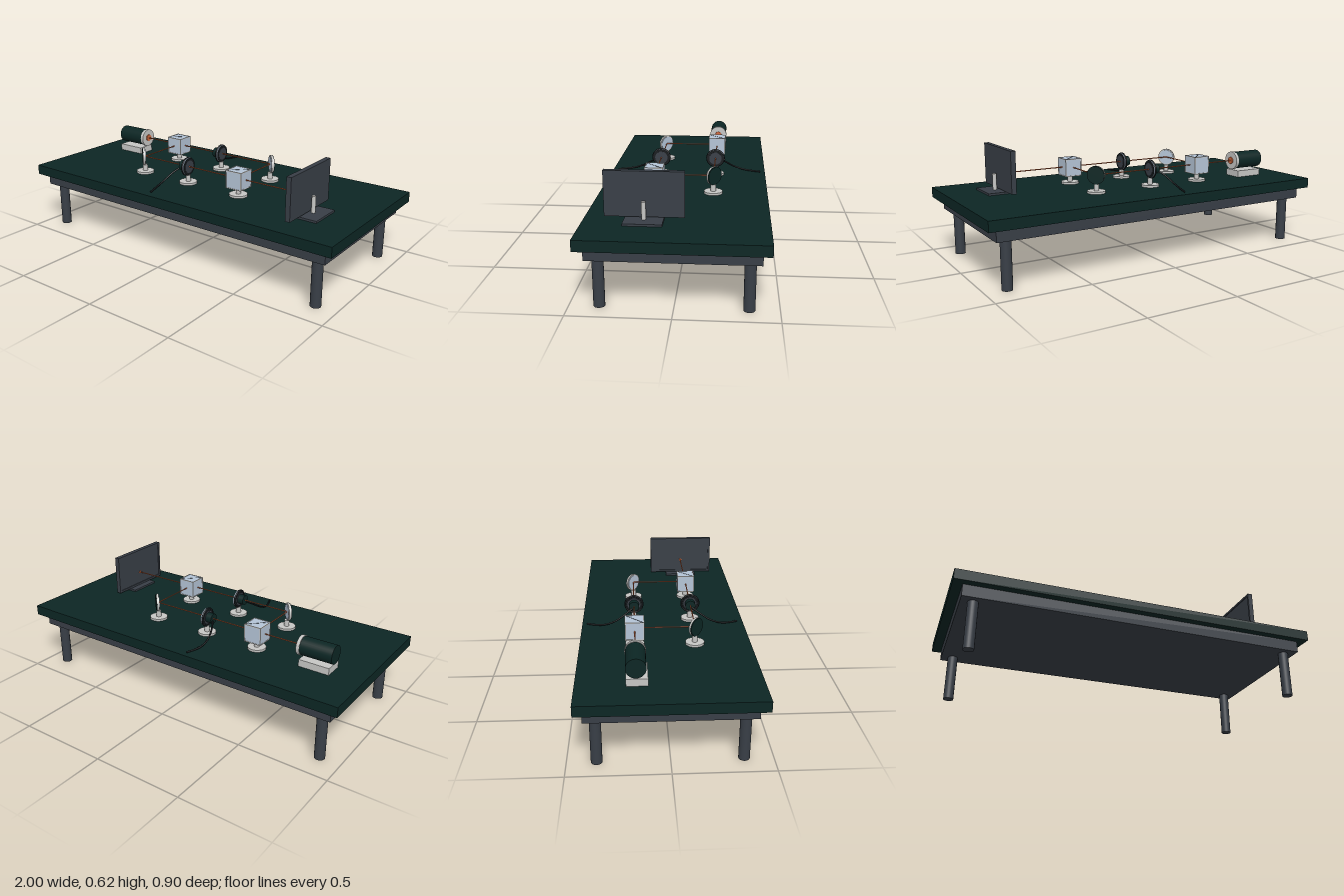
import * as THREE from 'three';

const mat = (name, color) => Object.assign(new THREE.MeshStandardMaterial({ color }), { name });

export function createModel() {
  const green = mat('dark green', 0x0c2624);
  const steel = mat('dark steel', 0x383e46);
  const silver = mat('silver', 0xc6c6c4);
  const glass = mat('pale blue glass', 0xb4c4d6);
  const black = mat('black', 0x14181b);
  const beamMat = mat('orange beam', 0xd0683c);
  const root = new THREE.Group();
  root.name = 'opticalBench';

  const TOP = 0.376, AXIS = 0.473, BACK = -0.16, FRONT = 0.155, LEFT = -0.385, RIGHT = 0.285;

  const add = (parent, name, geo, material, x, y, z) => {
    const m = new THREE.Mesh(geo, material);
    m.name = name;
    m.position.set(x, y, z);
    parent.add(m);
    return m;
  };
  const group = (name, x = 0, z = 0) => {
    const g = new THREE.Group();
    g.name = name;
    g.position.set(x, 0, z);
    root.add(g);
    return g;
  };
  const box = (p, name, m, w, h, d, x, y, z) => add(p, name, new THREE.BoxGeometry(w, h, d), m, x, y, z);
  const cyl = (p, name, m, r, h, x, y, z, seg = 32) =>
    add(p, name, new THREE.CylinderGeometry(r, r, h, seg), m, x, y, z);
  // cylinder lying along x, its caps ordered +x then -x
  const disc = (p, name, m, r, len, x, y, z) => {
    const c = cyl(p, name, m, r, len, x, y, z);
    c.rotation.z = -Math.PI / 2;
    return c;
  };
  // round foot and post shared by the optics
  const stand = (g, top) => {
    cyl(g, 'standFoot', silver, 0.05, 0.012, 0, TOP + 0.006, 0);
    cyl(g, 'standPost', silver, 0.014, top - TOP, 0, (top + TOP) / 2, 0, 20);
  };

  // Table
  const table = group('table');
  box(table, 'tableTop', green, 2, 0.056, 0.9, 0, 0.348, 0);
  box(table, 'tableFrame', steel, 1.9, 0.064, 0.82, 0, 0.288, 0);
  for (const x of [-0.885, 0.885])
    for (const z of [-0.355, 0.355]) cyl(table, 'leg', steel, 0.028, 0.257, x, 0.1285, z, 24);

  // Laser
  const laser = group('laser', 0, BACK);
  box(laser, 'laserBase', silver, 0.17, 0.038, 0.105, -0.745, TOP + 0.019, 0.005);
  disc(laser, 'laserBody', green, 0.05, 0.18, -0.75, AXIS, 0);
  disc(laser, 'laserCollar', silver, 0.053, 0.018, -0.652, AXIS, 0);
  disc(laser, 'laserAperture', beamMat, 0.02, 0.008, -0.64, AXIS, 0);

  // Beam splitter cubes with edge bars and a diagonal seam
  for (const [x, z] of [[LEFT, BACK], [RIGHT, FRONT]]) {
    const g = group('beamSplitter', x, z);
    stand(g, 0.425);
    box(g, 'splitterCube', glass, 0.097, 0.097, 0.097, 0, AXIS, 0);
    const e = 0.0475, t = 0.005;
    for (const a of [-e, e])
      for (const b of [-e, e]) {
        box(g, 'cubeEdge', silver, 0.1, t, t, 0, AXIS + a, b);
        box(g, 'cubeEdge', silver, t, 0.1, t, a, AXIS, b);
        box(g, 'cubeEdge', silver, t, t, 0.1, a, AXIS + b, 0);
      }
    const seam = box(g, 'cubeSeam', steel, 0.128, 0.099, 0.003, 0, AXIS, 0);
    seam.rotation.y = Math.PI / 4;
  }

  // Corner mirrors, the dark backs facing away from the beam path
  for (const [x, z, turn] of [[RIGHT, BACK, Math.PI / 4], [LEFT, FRONT, -Math.PI * 3 / 4]]) {
    const g = group('mirror', x, z);
    stand(g, 0.424);
    const head = new THREE.Group();
    head.name = 'mirrorHead';
    head.rotation.y = turn;
    g.add(head);
    disc(head, 'mirrorMount', [silver, green, silver], 0.05, 0.012, 0.005, AXIS, 0);
    disc(head, 'mirrorBack', green, 0.047, 0.005, 0.012, AXIS, 0);
    disc(head, 'mirrorFace', glass, 0.043, 0.004, -0.002, AXIS, 0);
  }

  // Phase plates with actuators and cables
  for (const [z, s] of [[BACK, -1], [FRONT, 1]]) {
    const g = group('phasePlate', -0.06, z);
    stand(g, 0.424);
    disc(g, 'plateRim', [glass, black, black], 0.05, 0.014, 0, AXIS, 0);
    const ring = add(g, 'plateRing', new THREE.TorusGeometry(0.049, 0.005, 10, 40), black, -0.004, AXIS, 0);
    ring.rotation.y = Math.PI / 2;
    disc(g, 'plateWindow', steel, 0.036, 0.018, 0, AXIS, 0);
    disc(g, 'actuator', green, 0.028, 0.038, -0.026, AXIS, 0);
    const path = new THREE.CatmullRomCurve3([
      [-0.045, 0.462, 0.01], [-0.068, 0.438, 0.05], [-0.084, 0.403, 0.11],
      [-0.083, 0.385, 0.17], [-0.07, 0.381, 0.22], [-0.055, 0.381, 0.262],
    ].map(([px, py, pz]) => new THREE.Vector3(px, py, pz * s)));
    add(g, 'cable', new THREE.TubeGeometry(path, 40, 0.005, 8), black, 0, 0, 0);
  }

  // Beam segments
  const beams = group('beams');
  const R = 0.003;
  const beamX = (x0, x1, z) => disc(beams, 'beam', beamMat, R, x1 - x0, (x0 + x1) / 2, AXIS, z);
  beamX(-0.64, RIGHT, BACK);
  beamX(LEFT, 0.695, FRONT);
  for (const x of [LEFT, RIGHT]) {
    const b = cyl(beams, 'beam', beamMat, R, FRONT - BACK, x, AXIS, (FRONT + BACK) / 2, 12);
    b.rotation.x = Math.PI / 2;
  }

  // Screen
  const screen = group('screen', 0, FRONT);
  box(screen, 'screenBase', steel, 0.15, 0.011, 0.19, 0.735, TOP + 0.0055, 0);
  cyl(screen, 'screenPost', silver, 0.011, 0.088, 0.74, 0.431, 0, 20);
  box(screen, 'screenPanel', steel, 0.022, 0.228, 0.39, 0.709, 0.505, 0);
  for (const s of [-1, 1]) {
    box(screen, 'screenRim', steel, 0.006, 0.012, 0.39, 0.696, 0.505 + s * 0.108, 0);
    box(screen, 'screenRim', steel, 0.006, 0.204, 0.012, 0.696, 0.505, s * 0.189);
  }
  disc(screen, 'beamSpot', beamMat, 0.008, 0.004, 0.697, AXIS, 0);

  return root;
}
